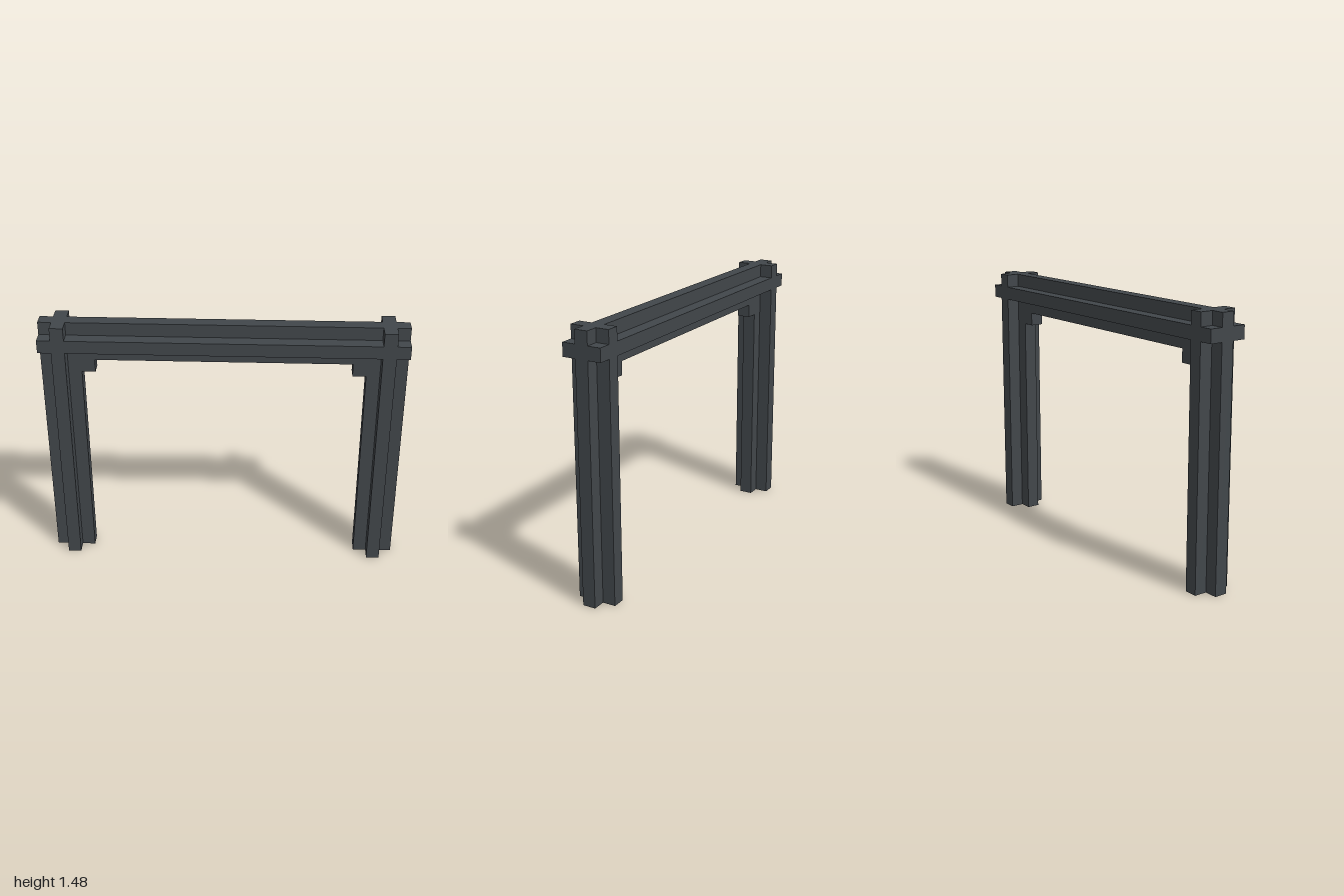
import * as THREE from 'three';

// Everything sits on a square module: 27 wide, 20 tall, 3 deep
const U = 2 / 27;
const W = 13.5, H = 20;

// Mirror the right half of an outline across x = 0 and extrude it, centred on z
function symmetricSlab(name, rightHalf, depth, material) {
  const leftHalf = rightHalf.map(([x, y]) => [-x, y]).reverse();
  const points = [...rightHalf, ...leftHalf].map(([x, y]) => new THREE.Vector2(x * U, y * U));
  const geometry = new THREE.ExtrudeGeometry(new THREE.Shape(points), {
    depth: depth * U, bevelEnabled: false,
  });
  geometry.translate(0, 0, -depth * U / 2);
  const mesh = new THREE.Mesh(geometry, material);
  mesh.name = name;
  return mesh;
}

export function createModel() {
  const group = new THREE.Group();
  group.name = 'gateFrame';
  const darkMetal = new THREE.MeshStandardMaterial({ color: 0x41464a });
  darkMetal.name = 'dark metal';

  // Thin wide plate: legs, beam and the stepped corner brackets
  group.add(symmetricSlab('framePlate', [
    [W - 4, H - 3], [W - 4, H - 4], [W - 3, H - 4], [W - 3, 0], [W, 0], [W, H],
  ], 1, darkMetal));

  // Deep narrow ribs: legs and beam crossing at the corners, with stub ends
  group.add(symmetricSlab('frameRibs', [
    [W - 2, H - 2], [W - 2, 0], [W - 1, 0], [W - 1, H - 2], [W, H - 2],
    [W, H - 1], [W - 1, H - 1], [W - 1, H], [W - 2, H], [W - 2, H - 1],
  ], 3, darkMetal));

  return group;
}
